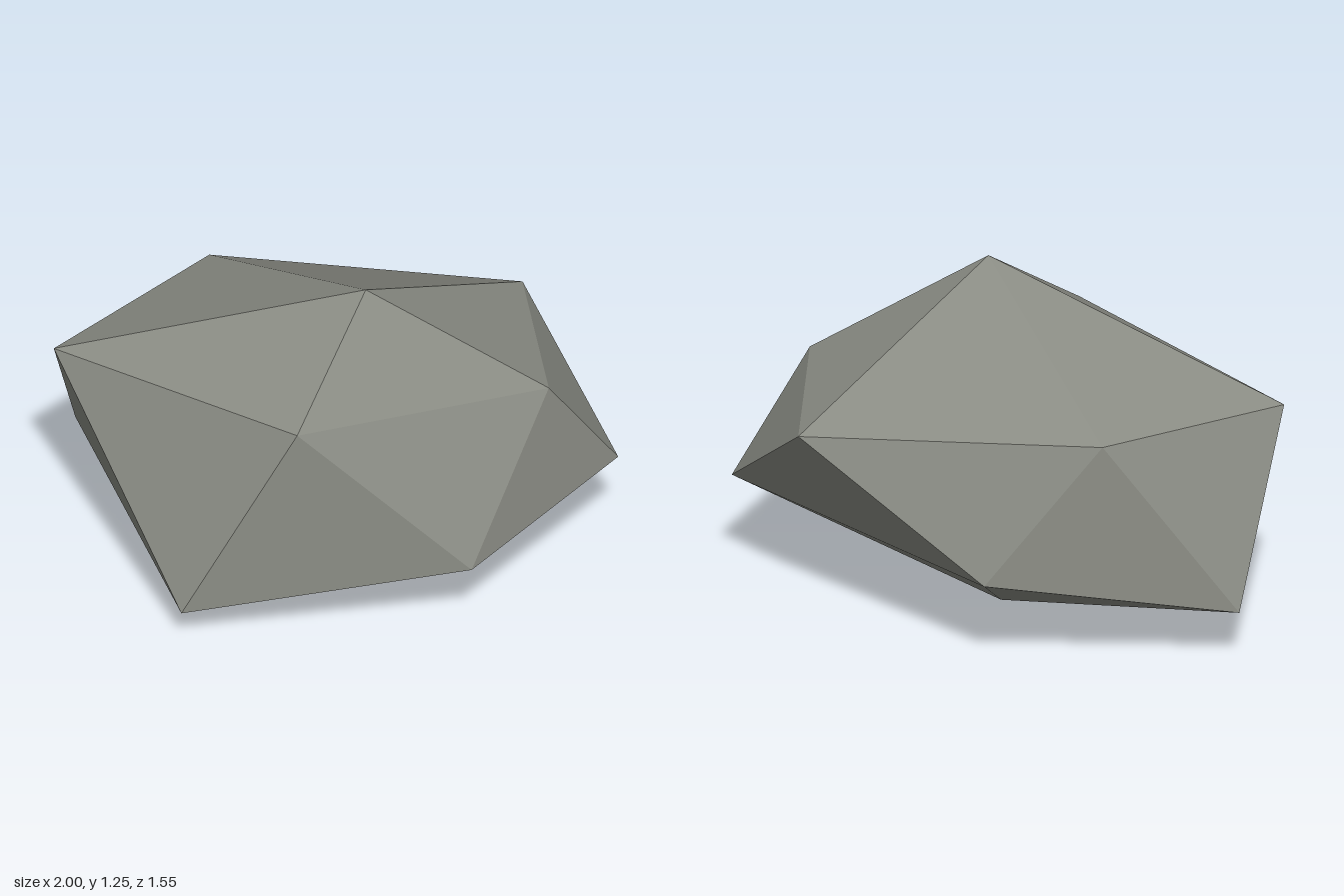
import * as THREE from 'three';

// Faceted boulder: a top point, two staggered rings of five corners, a bottom point.
const top = [0.22, 1.25, 0.07];
const upperRing = [
  [-0.90, 0.84, 0.33], [0.16, 0.915, 0.57], [0.84, 0.82, -0.17],
  [0.48, 0.78, -0.78], [-0.59, 0.86, -0.39],
];
const lowerRing = [
  [-0.21, 0.145, 0.775], [0.74, 0.30, 0.315], [1.00, 0.37, -0.44],
  [-0.27, 0.335, -0.685], [-1.00, 0.20, -0.11],
];
const bottom = [0.03, 0, -0.13];

function boulderGeometry() {
  const corners = [];
  const face = (a, b, c) => corners.push(...a, ...b, ...c);
  for (let i = 0; i < 5; i++) {
    const j = (i + 1) % 5;
    face(top, upperRing[i], upperRing[j]); // cap
    face(upperRing[i], lowerRing[i], upperRing[j]); // sides
    face(lowerRing[i], lowerRing[j], upperRing[j]);
    face(bottom, lowerRing[j], lowerRing[i]); // underside
  }
  const geometry = new THREE.BufferGeometry();
  geometry.setAttribute('position', new THREE.Float32BufferAttribute(corners, 3));
  geometry.computeVertexNormals(); // unshared corners give flat facets
  return geometry;
}

export function createModel() {
  const stone = new THREE.MeshStandardMaterial({ color: 0x8a8c84 });
  stone.name = 'stone grey';
  stone.flatShading = true;

  const boulder = new THREE.Mesh(boulderGeometry(), stone);
  boulder.name = 'boulder';

  const model = new THREE.Group();
  model.name = 'rock';
  model.add(boulder);
  return model;
}
